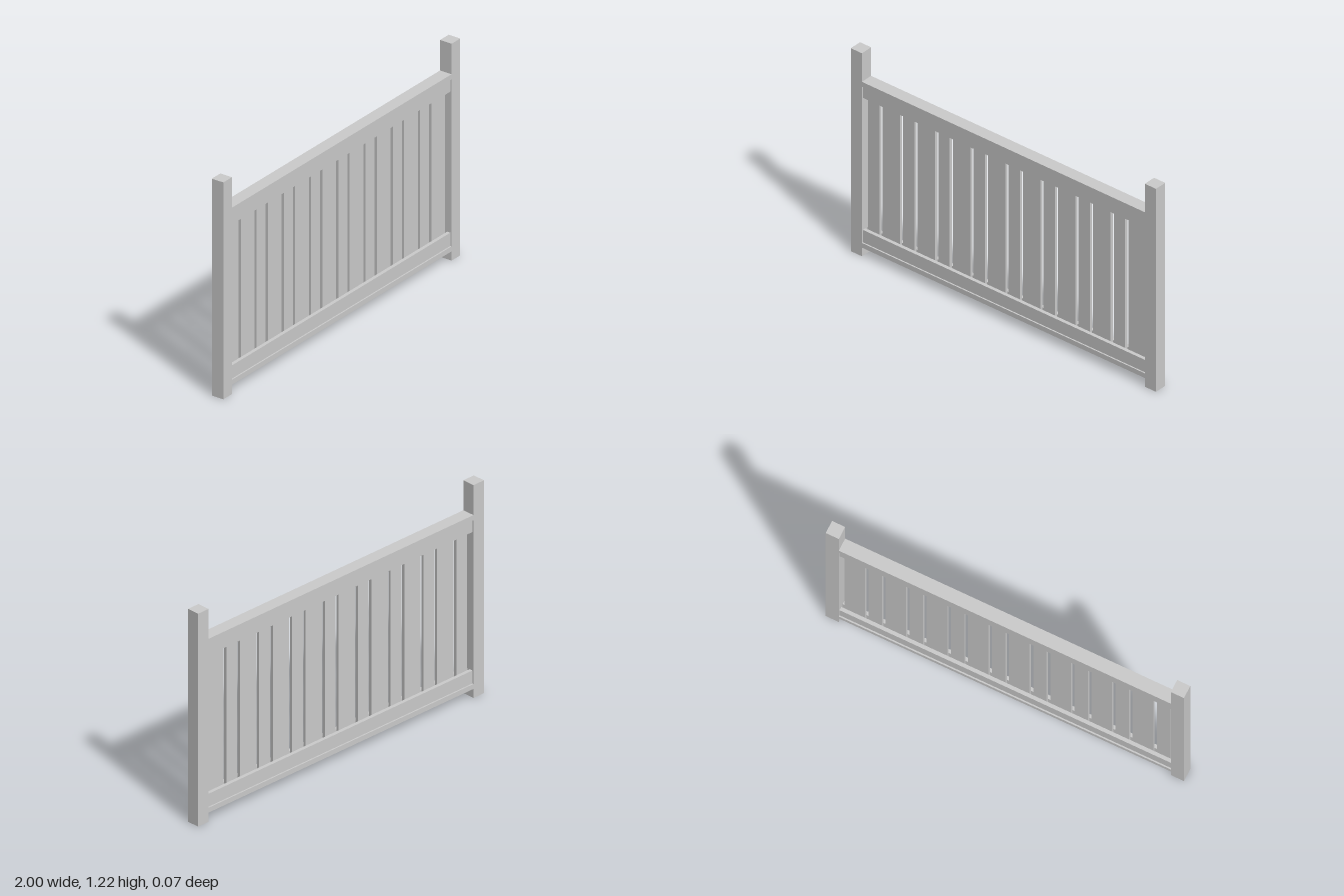
import * as THREE from 'three';

const material = new THREE.MeshStandardMaterial({ color: 0xcccccc, flatShading: true });

// Box given by its extents along each axis
function addBox(parent, name, [x0, x1], [y0, y1], [z0, z1]) {
  const mesh = new THREE.Mesh(new THREE.BoxGeometry(x1 - x0, y1 - y0, z1 - z0), material);
  mesh.name = name;
  mesh.position.set((x0 + x1) / 2, (y0 + y1) / 2, (z0 + z1) / 2);
  parent.add(mesh);
}

export function createModel() {
  const fence = new THREE.Group();
  fence.name = 'fencePanel';

  const half = 0.036;            // half depth of posts and caps
  const inner = 0.927;           // inner face of the posts
  const plateZ = 0.028;          // outer face of the rail plates
  const slatZ = 0.008;           // half thickness of the slats
  const span = [-inner, inner];

  // End posts
  addBox(fence, 'leftPost', [inner, 1], [0, 1.216], [-half, half]);
  addBox(fence, 'rightPost', [-1, -inner], [0, 1.216], [-half, half]);

  // Full-depth caps above and below the panel
  addBox(fence, 'topCap', span, [1.016, 1.045], [-half, half]);
  addBox(fence, 'bottomCap', span, [0.052, 0.08], [-half, half]);

  // Paired rail plates that sandwich the slats
  for (const [name, y] of [['topRail', [0.945, 1.016]], ['bottomRail', [0.08, 0.154]]]) {
    addBox(fence, name + 'Front', span, y, [slatZ, plateZ]);
    addBox(fence, name + 'Back', span, y, [-plateZ, -slatZ]);
  }

  // Slats alternating narrow and wide
  const slats = new THREE.Group();
  slats.name = 'slats';
  fence.add(slats);
  const narrow = 0.075, wide = 0.115, gap = 0.02;
  let x = -0.91;
  for (let i = 0; i < 16; i++) {
    const width = i % 2 ? wide : narrow;
    addBox(slats, i % 2 ? 'wideSlat' : 'narrowSlat', [x, x + width], [0.08, 1.016], [-slatZ, slatZ]);
    x += width + gap;
  }

  return fence;
}
